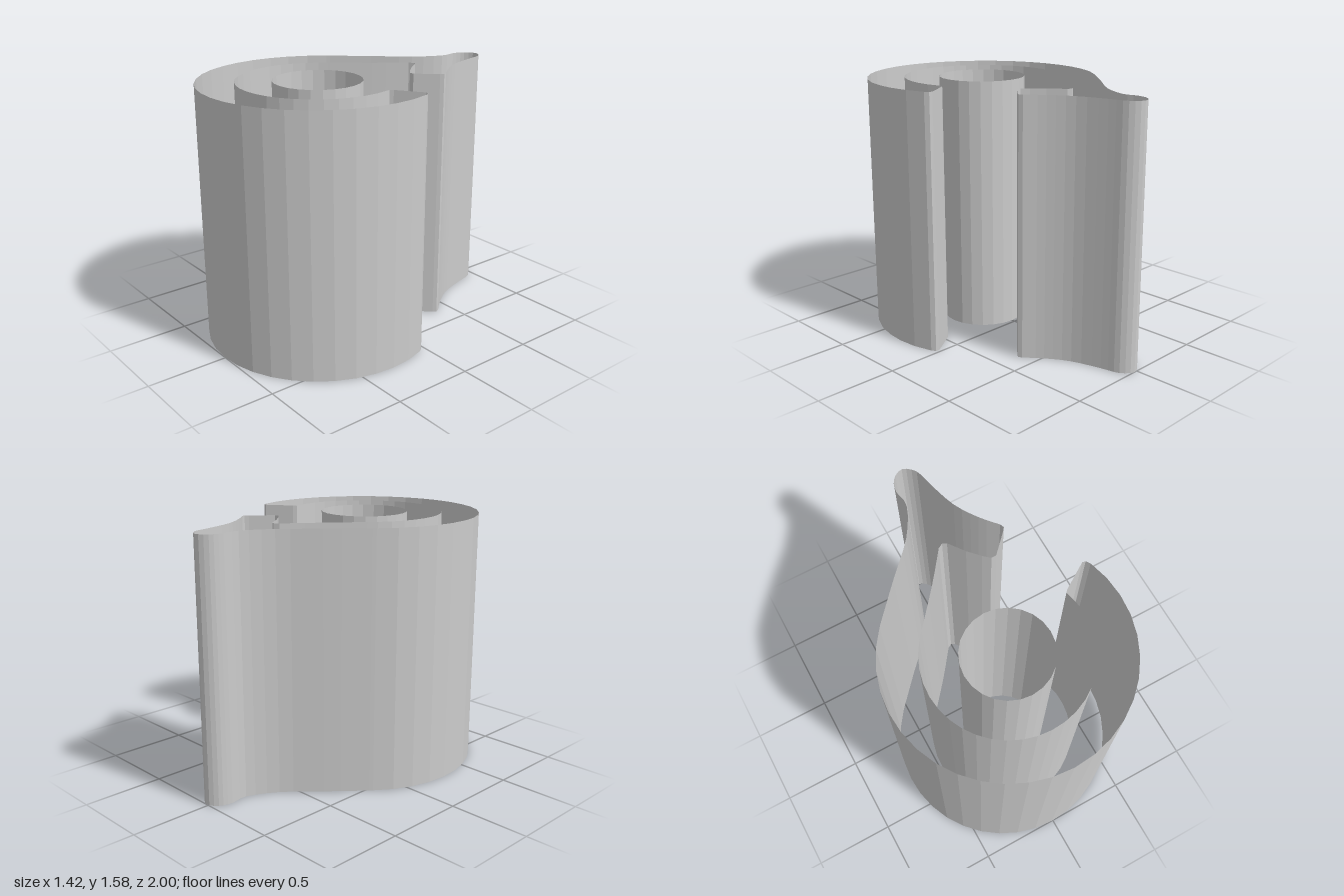
import * as THREE from 'three';

const HEIGHT = 1.58;
const CENTRE_Z = 0.29; // axis of the round chamber

const material = new THREE.MeshStandardMaterial({
  color: 0xcccccc, flatShading: true, side: THREE.DoubleSide,
});

// Plan points are [x, z] about the chamber axis; angle 0 is the front, 90 is +x.
function arc(radius, from, to, steps) {
  return Array.from({ length: steps + 1 }, (_, i) => {
    const t = THREE.MathUtils.degToRad(from + ((to - from) * i) / steps);
    return [radius * Math.sin(t), radius * Math.cos(t)];
  });
}

// Smooth run through a few plan points
function smooth(points, steps) {
  const curve = new THREE.SplineCurve(points.map(([x, z]) => new THREE.Vector2(x, z)));
  return curve.getPoints(steps).map((p) => [p.x, p.y]);
}

// Upright open-ended wall following a closed plan loop
function wall(loop) {
  const positions = [];
  loop.forEach(([ax, az], i) => {
    const [bx, bz] = loop[(i + 1) % loop.length];
    positions.push(
      bx, 0, bz, ax, 0, az, ax, HEIGHT, az,
      bx, 0, bz, ax, HEIGHT, az, bx, HEIGHT, bz,
    );
  });
  const geometry = new THREE.BufferGeometry();
  geometry.setAttribute('position', new THREE.Float32BufferAttribute(positions, 3));
  geometry.computeVertexNormals();
  return geometry;
}

export function createModel() {
  const group = new THREE.Group();
  group.name = 'scrollHousing';

  const loop = [
    // outer face, from the lip round the front to the left back
    ...arc(0.71, 110, -131, 24),
    // outer face of the tail, its rounded tip and its concave right side
    ...smooth([
      [-0.52, -0.485], [-0.34, -0.685], [-0.16, -0.88], [-0.065, -1.06], [-0.075, -1.17],
      [-0.05, -1.25], [0.02, -1.29], [0.09, -1.235], [0.12, -1.12], [0.175, -0.94],
      [0.26, -0.8], [0.345, -0.7],
    ], 33),
    // mouth of the slot and pocket in the chamber
    [0.355, -0.675], [0.34, -0.655], [0.23, -0.54], [0.2, -0.54], [0.16, -0.575],
    [0.095, -0.645], [0.025, -0.74], [0, -0.752], [-0.03, -0.735],
    // inner face, back round to the lip
    ...smooth([[-0.03, -0.735], [-0.17, -0.55], [-0.345, -0.34]], 6).slice(1),
    ...arc(0.482, -127, 106, 24),
    // rounded end of the lip
    [0.458, -0.155], [0.475, -0.172], [0.63, -0.272], [0.65, -0.268],
  ];

  const shell = new THREE.Mesh(wall(loop), material);
  shell.name = 'scrollWall';
  shell.position.z = CENTRE_Z;
  group.add(shell);

  // open tube in the middle of the chamber
  const tube = new THREE.Mesh(
    new THREE.CylinderGeometry(0.267, 0.267, HEIGHT, 24, 1, true), material,
  );
  tube.name = 'centreTube';
  tube.position.set(0, HEIGHT / 2, CENTRE_Z);
  group.add(tube);

  return group;
}
